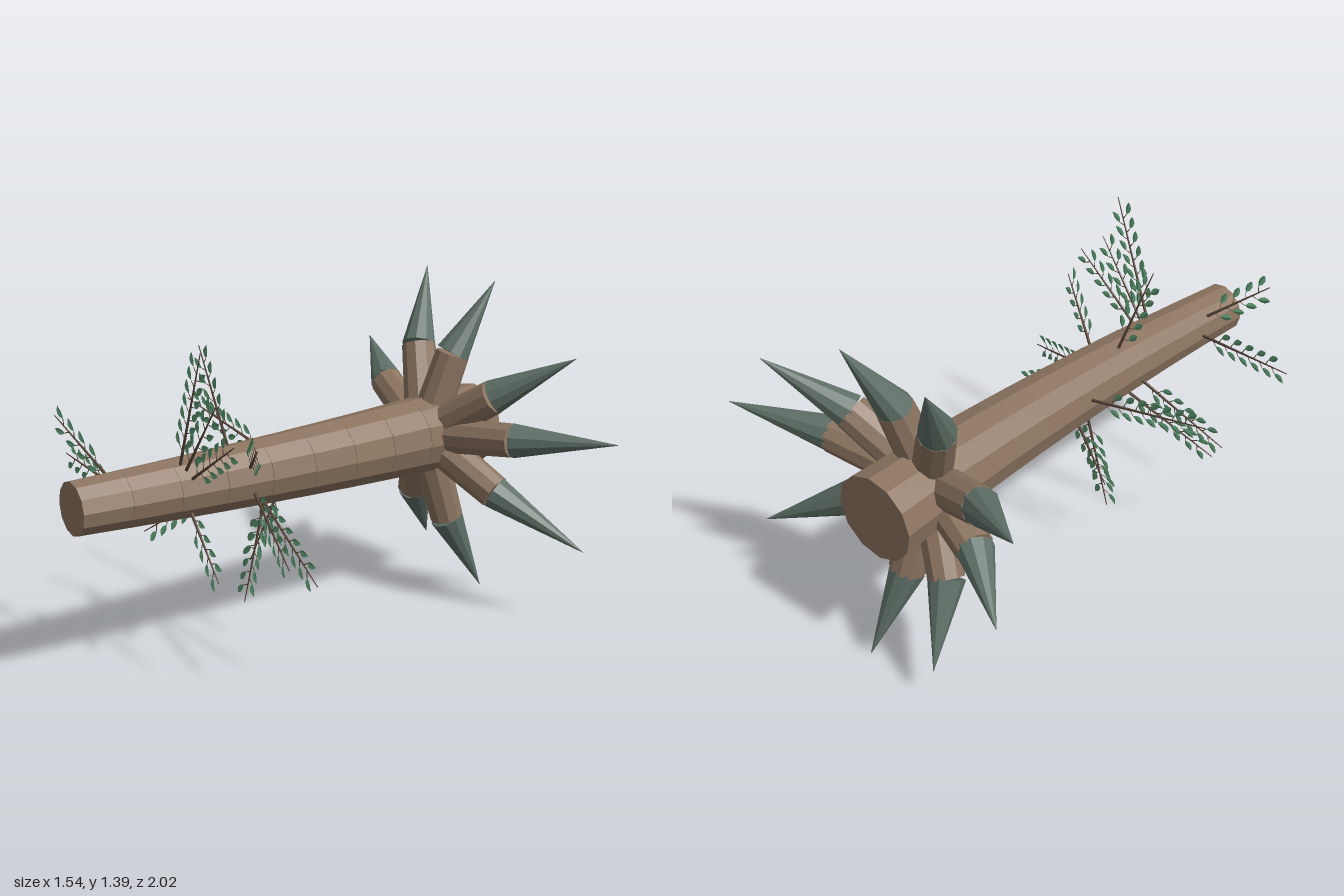
import * as THREE from 'three';
import { mergeGeometries } from 'three/addons/utils/BufferGeometryUtils.js';

const V = (x, y, z) => new THREE.Vector3(x, y, z);
const UP = V(0, 1, 0);

function material(name, color, extra = {}) {
  const m = new THREE.MeshStandardMaterial({ color, flatShading: true, ...extra });
  m.name = name;
  return m;
}

// Trunk centre line and radius as functions of z
const axis = (z) => V(-0.05 - 0.035 * z * z, 0.75 + 0.008 * z, z);
const radius = (z) => 0.14 - 0.035 * z;

// Tapered round piece running from a to b
function taper(a, b, ra, rb, sides, open = false) {
  const dir = b.clone().sub(a);
  const g = new THREE.CylinderGeometry(rb, ra, dir.length(), sides, 1, open);
  g.applyQuaternion(new THREE.Quaternion().setFromUnitVectors(UP, dir.normalize()));
  const mid = a.clone().add(b).multiplyScalar(0.5);
  return g.translate(mid.x, mid.y, mid.z);
}

// Pointed leaf lying along +y, folded slightly on its midrib
function leafGeometry(len, width) {
  const pos = [];
  const profile = [[0, 0], [0.25, 0.8], [0.55, 1], [0.8, 0.6], [1, 0]];
  for (const s of [-1, 1]) {
    for (let i = 0; i < profile.length - 1; i++) {
      const [t0, w0] = profile[i], [t1, w1] = profile[i + 1];
      const m0 = [0, t0 * len, 0], m1 = [0, t1 * len, 0];
      const e0 = [s * w0 * width, t0 * len, w0 * 0.005];
      const e1 = [s * w1 * width, t1 * len, w1 * 0.005];
      const quad = s > 0 ? [m0, e0, e1, m0, e1, m1] : [m0, e1, e0, m0, m1, e1];
      quad.forEach((p) => pos.push(...p));
    }
  }
  const g = new THREE.BufferGeometry();
  g.setAttribute('position', new THREE.Float32BufferAttribute(pos, 3));
  g.computeVertexNormals();
  return g;
}

export function createModel() {
  const group = new THREE.Group();
  const bark = material('bark brown', 0x8c7460);
  const rootTip = material('root grey green', 0x5f7068);
  const twigBrown = material('twig dark brown', 0x57463a);
  const leafGreen = material('leaf green', 0x5f9c74, { side: THREE.DoubleSide });

  const add = (parent, name, geometry, mat) => {
    const mesh = new THREE.Mesh(geometry, mat);
    mesh.name = name;
    parent.add(mesh);
  };

  // Trunk: ten slightly bent segments
  const trunk = new THREE.Group();
  trunk.name = 'trunk';
  for (let i = 0; i < 10; i++) {
    const z0 = -1 + i * 0.2, z1 = z0 + 0.2;
    add(trunk, 'trunkSegment', taper(axis(z0), axis(z1), radius(z0), radius(z1), 12), bark);
  }
  group.add(trunk);

  // Roots: [joint x, joint y, tip x, tip y]
  const roots = [
    [-0.23, 1.09, -0.38, 1.395], [-0.015, 1.09, 0.045, 1.39], [0.24, 0.955, 0.525, 1.145],
    [0.365, 0.795, 0.77, 0.84], [0.27, 0.545, 0.625, 0.34], [-0.02, 0.355, 0.025, 0.005],
    [-0.24, 0.44, -0.34, 0.155], [-0.4, 0.67, -0.68, 0.58], [-0.435, 0.88, -0.77, 1.01],
  ];
  for (const [jx, jy, tx, ty] of roots) {
    const root = new THREE.Group();
    root.name = 'root';
    const joint = V(jx, jy, -0.81);
    add(root, 'rootBase', taper(axis(-0.71), joint, 0.082, 0.073, 10), bark);
    add(root, 'rootTip', taper(joint, V(tx, ty, -0.985), 0.073, 0.001, 10), rootTip);
    group.add(root);
  }

  // Leafy twigs: [base z, tip x, tip y, tip z]
  const twigs = [
    [0.57, 0.19, 1.335, 0.605], [0.56, 0.245, 1.145, 0.58], [0.55, 0.38, 1.03, 0.595],
    [0.55, 0.25, 0.47, 0.585], [0.30, -0.23, 1.25, 0.335], [0.29, 0.33, 0.98, 0.46],
    [0.25, 0.46, 0.45, 0.285], [0.28, 0.5, 0.565, 0.445], [0.80, -0.4, 1.025, 0.885],
    [0.05, -0.72, 0.89, 0.075], [0.75, -0.63, 0.785, 0.72], [0.37, -0.58, 0.57, 0.385],
    [0.30, -0.48, 0.435, 0.46], [0.14, -0.15, 0.16, 0.19], [0.06, -0.19, 0.32, 0.13],
  ];
  for (const [bz, tx, ty, tz] of twigs) {
    const twig = new THREE.Group();
    twig.name = 'twig';
    const tip = V(tx, ty, tz), centre = axis(bz);
    const out = tip.clone().sub(centre).setZ(0).normalize();
    const base = centre.addScaledVector(out, radius(bz) * 0.85);
    const dir = tip.clone().sub(base);
    const length = dir.length();
    dir.normalize();
    const side = dir.clone().cross(V(0, 0, 1)).normalize();
    const stems = [taper(base, tip, 0.007, 0.002, 5)];
    const leaves = [];

    // Leaves alternate left and right on short stalks
    const count = Math.max(4, Math.round(length / 0.042));
    for (let i = 0; i < count; i++) {
      const s = i % 2 ? 1 : -1;
      const start = base.clone().addScaledVector(dir, length * (0.15 + 0.68 * i / (count - 1)));
      const lean = dir.clone().multiplyScalar(0.5).addScaledVector(side, 0.87 * s);
      const end = start.clone().addScaledVector(lean, 0.028);
      stems.push(taper(start, end, 0.0025, 0.0015, 4));
      const along = dir.clone().multiplyScalar(0.85).addScaledVector(side, 0.5 * s).normalize();
      const normal = side.clone().cross(dir).normalize();
      const across = along.clone().cross(normal);
      const frame = new THREE.Matrix4().makeBasis(across, along, normal).setPosition(end);
      leaves.push(leafGeometry(0.056, 0.0135).applyMatrix4(frame));
    }
    add(twig, 'twigStem', mergeGeometries(stems), twigBrown);
    add(twig, 'leaves', mergeGeometries(leaves), leafGreen);
    group.add(twig);
  }
  return group;
}
